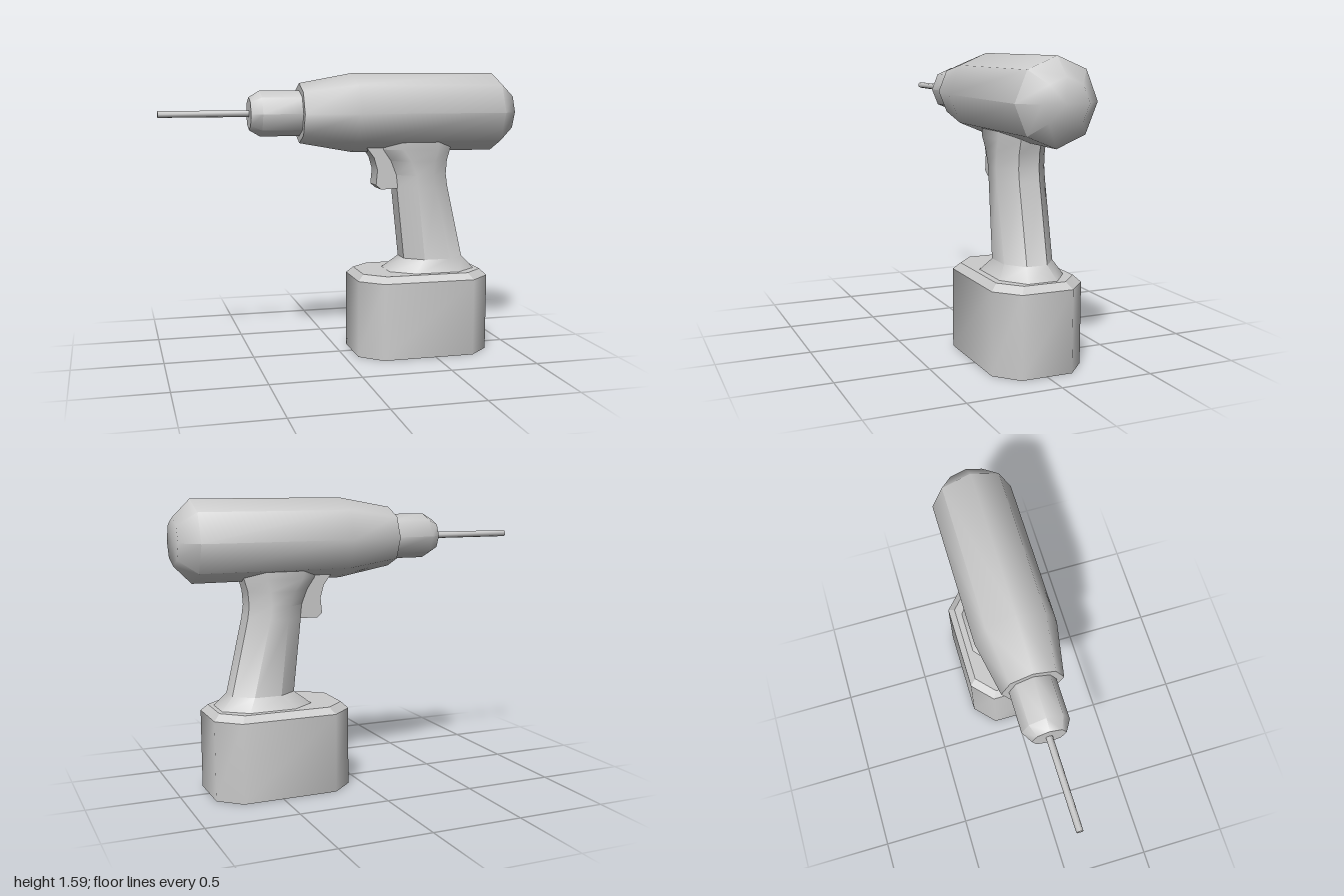
import * as THREE from 'three';
import { toCreasedNormals } from 'three/addons/utils/BufferGeometryUtils.js';

const material = new THREE.MeshStandardMaterial({ color: 0xcccccc });
const AXIS_Y = 1.37;

function mesh(name, geometry, crease = 0.87) {
  const m = new THREE.Mesh(toCreasedNormals(geometry, crease), material);
  m.name = name;
  return m;
}

// Turned part along the x axis; profile points are [x, radius]
function turned(name, profile, sides = 8, crease) {
  const points = profile.map(([x, r]) => new THREE.Vector2(r, x));
  const geometry = new THREE.LatheGeometry(points, sides);
  geometry.rotateZ(-Math.PI / 2);
  geometry.translate(0, AXIS_Y, 0);
  return mesh(name, geometry, crease);
}

// Chamfered rectangle at height y, listed from +x towards +z
function ring([y, x0, x1, hz, cx, cz]) {
  return [
    [x1, y, -hz + cz], [x1, y, hz - cz], [x1 - cx, y, hz], [x0 + cx, y, hz],
    [x0, y, hz - cz], [x0, y, -hz + cz], [x0 + cx, y, -hz], [x1 - cx, y, -hz],
  ];
}

// Skin over stacked chamfered rectangles, closed at both ends
function loft(name, sections, crease) {
  const n = 8, index = [];
  const last = (sections.length - 1) * n;
  for (let i = 0; i < sections.length - 1; i++) {
    for (let j = 0; j < n; j++) {
      const a = i * n + j, b = i * n + (j + 1) % n;
      index.push(a, a + n, b, b, a + n, b + n);
    }
  }
  for (let j = 1; j < n - 1; j++) {
    index.push(0, j, j + 1, last, last + j + 1, last + j);
  }
  const geometry = new THREE.BufferGeometry();
  geometry.setAttribute('position', new THREE.Float32BufferAttribute(sections.flatMap(ring).flat(), 3));
  geometry.setIndex(index);
  return mesh(name, geometry, crease);
}

export function createModel() {
  const group = new THREE.Group();

  // Motor housing, chuck and drill bit share one axis
  group.add(turned('motorHousing', [[-0.23, 0], [-0.23, 0.165], [0.07, 0.22], [0.905, 0.22], [1, 0.125], [1, 0]]));
  group.add(turned('chuck', [[-0.51, 0], [-0.51, 0.09], [-0.45, 0.125], [-0.2, 0.125], [-0.2, 0]], 8, 0.8));
  group.add(turned('drillBit', [[-1, 0], [-1, 0.018], [-0.48, 0.018], [-0.48, 0]]));

  // Grip, flared at the battery and under the housing
  group.add(loft('handle', [
    [0.46, 0.26, 0.79, 0.185, 0.13, 0.1],
    [0.54, 0.365, 0.715, 0.137, 0.1, 0.08],
    [0.95, 0.32, 0.622, 0.137, 0.1, 0.08],
    [1.02, 0.312, 0.612, 0.137, 0.1, 0.08],
    [1.1, 0.28, 0.618, 0.137, 0.1, 0.08],
    [1.165, 0.235, 0.637, 0.137, 0.1, 0.08],
    [1.25, 0.225, 0.645, 0.137, 0.1, 0.08],
  ]));

  // Battery pack with a bevelled lid
  group.add(loft('batteryPack', [
    [0, 0.075, 0.84, 0.25, 0.12, 0.11],
    [0.435, 0.075, 0.84, 0.25, 0.12, 0.11],
  ]));
  group.add(loft('batteryLid', [
    [0.435, 0.075, 0.84, 0.25, 0.12, 0.11],
    [0.47, 0.11, 0.805, 0.215, 0.11, 0.1],
  ], 0.4));

  // Trigger
  const shape = new THREE.Shape([
    [0.14, 1.18], [0.185, 1.12], [0.205, 1.05], [0.197, 0.965],
    [0.227, 0.94], [0.34, 0.945], [0.34, 1.18],
  ].map(([x, y]) => new THREE.Vector2(x, y)));
  const trigger = new THREE.ExtrudeGeometry(shape, { depth: 0.12, bevelEnabled: false });
  trigger.translate(0, 0, -0.06);
  group.add(mesh('trigger', trigger, 0.5));

  return group;
}
